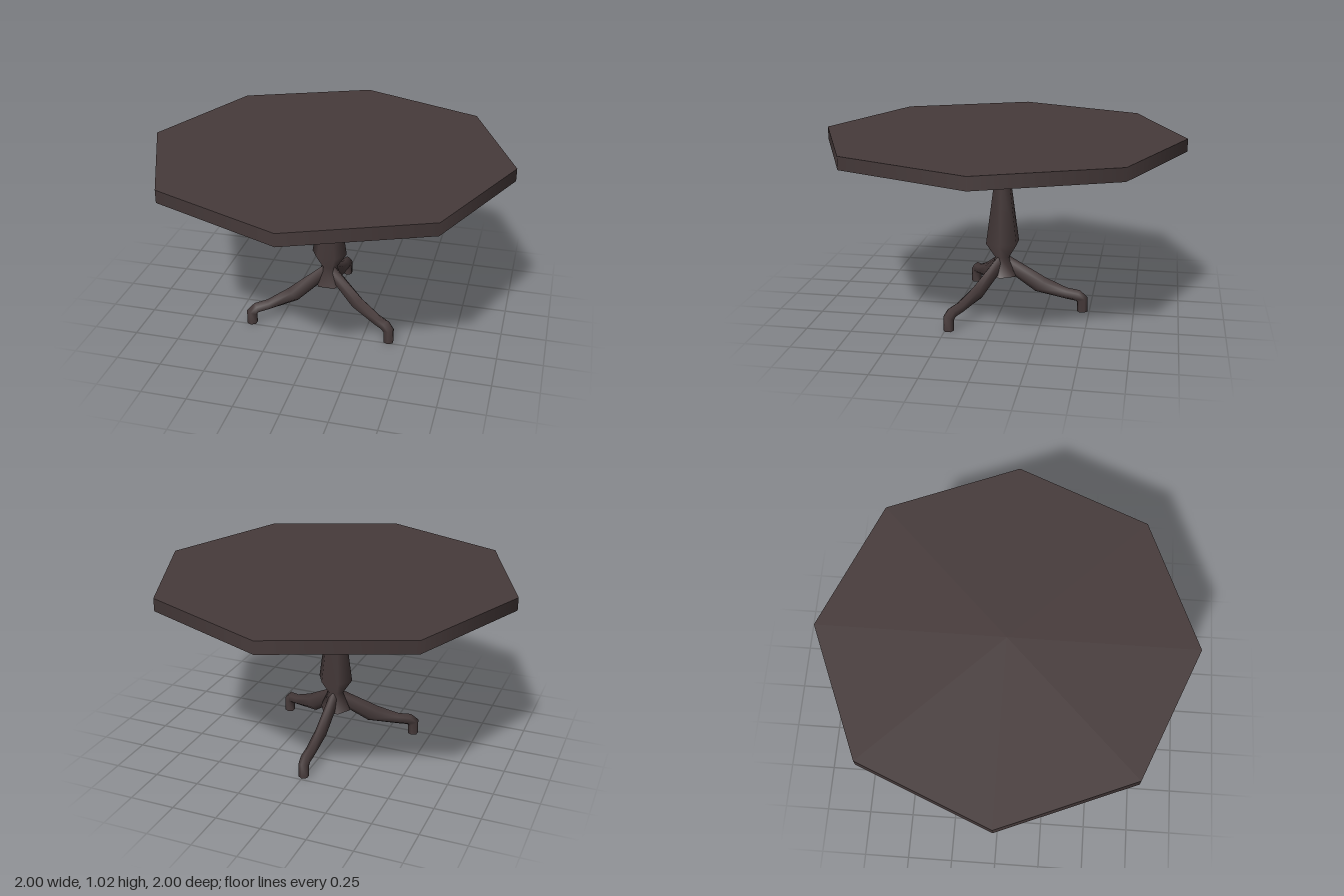
import * as THREE from 'three';

const wood = new THREE.MeshStandardMaterial({ color: 0x463a3a });
wood.name = 'dark wood';

// Leg outline running outwards: [upper r, upper y, lower r, lower y] at each joint
const LEG = [
  [0.03, 0.315, -0.01, 0.245],
  [0.25, 0.19, 0.19, 0.105],
  [0.37, 0.137, 0.365, 0.07],
  [0.445, 0.125, 0.422, 0.06],
  [0.49, 0.085, 0.43, 0.055],
  [0.49, 0, 0.43, 0],
];
const HALF_WIDTH = 0.025;

// Six-sided sweep along -z with smooth sides and crisp end caps
function legGeometry() {
  const position = [];
  const index = [];
  const addRing = ([ru, yu, rl, yl]) => {
    const start = position.length / 3;
    for (let j = 0; j < 6; j++) {
      const a = (j * Math.PI) / 3;
      const k = (1 + Math.cos(a)) / 2; // 1 at the upper edge, 0 at the lower
      const side = (HALF_WIDTH * Math.sin(a)) / Math.sin(Math.PI / 3);
      position.push(side, yl + (yu - yl) * k, -(rl + (ru - rl) * k));
    }
    return start;
  };

  const rings = LEG.map(addRing);
  for (let i = 0; i < rings.length - 1; i++) {
    for (let j = 0; j < 6; j++) {
      const n = (j + 1) % 6;
      const a = rings[i] + j, b = rings[i] + n;
      const c = rings[i + 1] + j, d = rings[i + 1] + n;
      index.push(a, b, c, b, d, c);
    }
  }
  const root = addRing(LEG[0]);
  const foot = addRing(LEG[LEG.length - 1]);
  for (let j = 1; j < 5; j++) {
    index.push(root, root + j + 1, root + j);
    index.push(foot, foot + j, foot + j + 1);
  }

  const geometry = new THREE.BufferGeometry();
  geometry.setAttribute('position', new THREE.Float32BufferAttribute(position, 3));
  geometry.setIndex(index);
  geometry.computeVertexNormals();
  return geometry;
}

export function createModel() {
  const table = new THREE.Group();
  table.name = 'pedestalTable';
  const add = (name, geometry) => {
    const mesh = new THREE.Mesh(geometry, wood);
    mesh.name = name;
    table.add(mesh);
    return mesh;
  };

  // Octagonal top with a corner towards the front
  add('tableTop', new THREE.CylinderGeometry(1, 1, 0.07, 8)).position.y = 0.985;

  // Six-sided turned column with corners to left and right
  const profile = [
    [0.09, 0.2], [0.045, 0.305], [0.1, 0.39],
    [0.048, 0.76], [0.1, 0.85], [0.1, 0.955],
  ].map(([r, y]) => new THREE.Vector2(r, y));
  add('column', new THREE.LatheGeometry(profile, 6, Math.PI / 2));

  // Flat underside of the column
  const base = add('columnBase', new THREE.CircleGeometry(0.09, 6));
  base.rotation.x = Math.PI / 2;
  base.position.y = 0.2;

  // Three curved legs, one pointing straight back
  const leg = legGeometry();
  ['backLeg', 'rightLeg', 'leftLeg'].forEach((name, i) => {
    add(name, leg).rotation.y = (i * Math.PI * 2) / 3;
  });

  return table;
}
